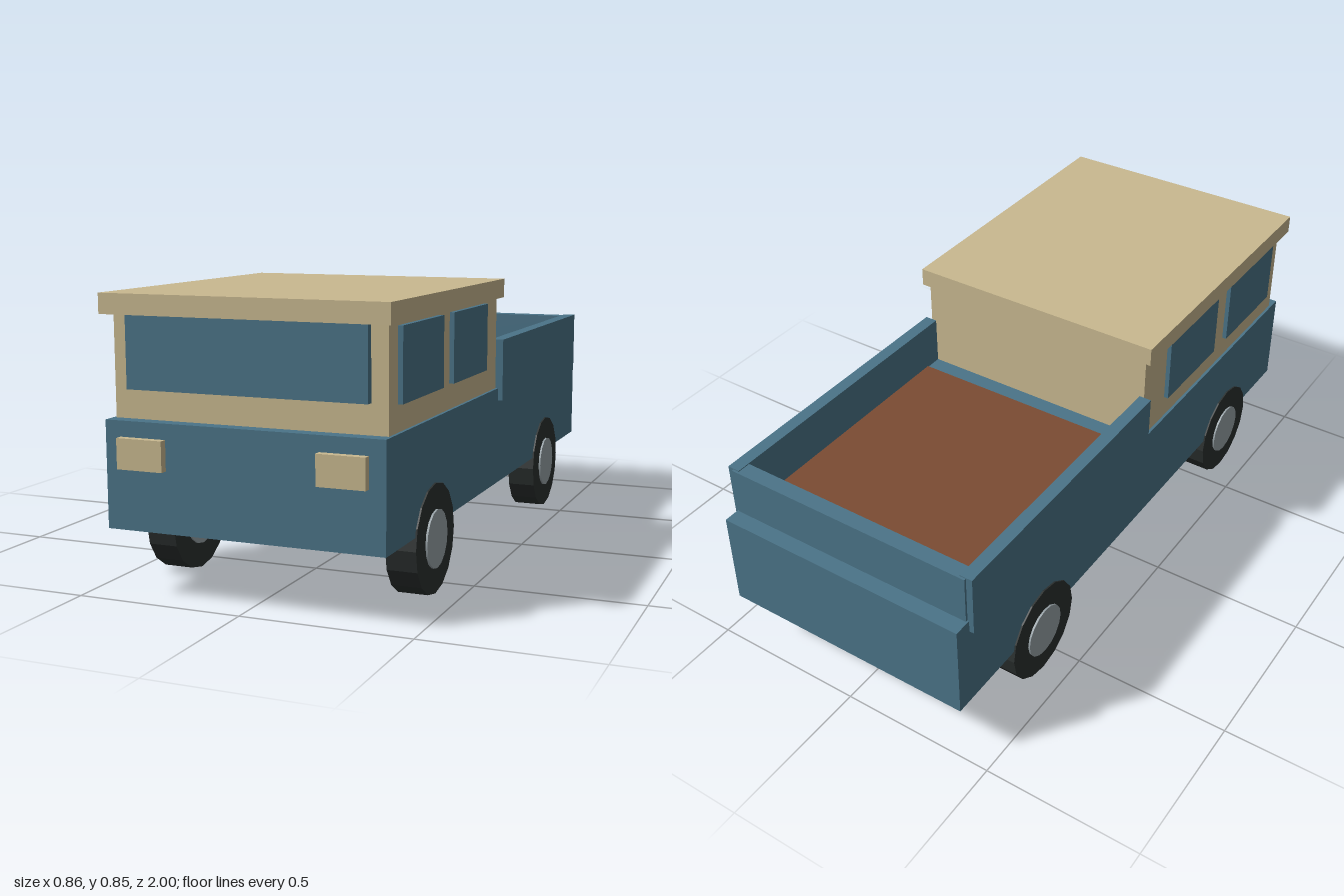
import * as THREE from 'three';

const material = (name, color) => {
  const m = new THREE.MeshStandardMaterial({ color });
  m.name = name;
  return m;
};

export function createModel() {
  const blue = material('blue paint', 0x4b7488);
  const tan = material('tan paint', 0xc9b990);
  const brown = material('brown bed', 0x7b4c33);
  const black = material('tyre rubber', 0x2b302f);
  const grey = material('hub metal', 0x98a3a8);

  const truck = new THREE.Group();
  truck.name = 'pickupTruck';

  // Box given by its extents on each axis
  const box = (name, mat, [x0, x1], [y0, y1], [z0, z1]) => {
    const mesh = new THREE.Mesh(new THREE.BoxGeometry(x1 - x0, y1 - y0, z1 - z0), mat);
    mesh.position.set((x0 + x1) / 2, (y0 + y1) / 2, (z0 + z1) / 2);
    mesh.name = name;
    truck.add(mesh);
  };
  // Same box on the left (+x) and right (-x)
  const pair = (name, mat, [x0, x1], y, z) => {
    box(name + 'Left', mat, [x0, x1], y, z);
    box(name + 'Right', mat, [-x1, -x0], y, z);
  };

  // Body and cab
  box('body', blue, [-0.415, 0.415], [0.2, 0.507], [-1, 0.977]);
  box('cab', tan, [-0.406, 0.406], [0.507, 0.797], [0.005, 0.935]);
  box('roof', tan, [-0.427, 0.427], [0.797, 0.855], [-0.007, 0.977]);
  box('windshield', blue, [-0.357, 0.357], [0.591, 0.797], [0.935, 0.957]);
  pair('frontSideWindow', blue, [0.406, 0.42], [0.582, 0.787], [0.55, 0.872]);
  pair('rearSideWindow', blue, [0.406, 0.42], [0.582, 0.787], [0.142, 0.462]);
  pair('headlight', tan, [0.228, 0.368], [0.375, 0.462], [0.977, 1]);

  // Cargo bed
  box('bedFloor', brown, [-0.382, 0.382], [0.507, 0.52], [-0.9, -0.062]);
  pair('bedSide', blue, [0.39, 0.43], [0.468, 0.663], [-0.943, 0.005]);
  box('tailgate', blue, [-0.41, 0.41], [0.507, 0.66], [-0.95, -0.9]);

  // Wheels: tyre with a hub showing on both faces
  const tyreGeometry = new THREE.CylinderGeometry(0.16, 0.16, 0.09, 16).rotateZ(Math.PI / 2).toNonIndexed();
  tyreGeometry.computeVertexNormals();
  const hubGeometry = new THREE.CylinderGeometry(0.085, 0.085, 0.102, 16).rotateZ(Math.PI / 2);
  for (const [end, z] of [['front', 0.61], ['rear', -0.58]]) {
    for (const [side, s] of [['Left', 1], ['Right', -1]]) {
      const wheel = new THREE.Group();
      wheel.name = end + 'Wheel' + side;
      const tyre = new THREE.Mesh(tyreGeometry, black);
      tyre.name = 'tyre';
      const hub = new THREE.Mesh(hubGeometry, grey);
      hub.name = 'hub';
      wheel.add(tyre, hub);
      wheel.position.set(s * 0.375, 0.162, z);
      truck.add(wheel);
    }
  }
  return truck;
}
